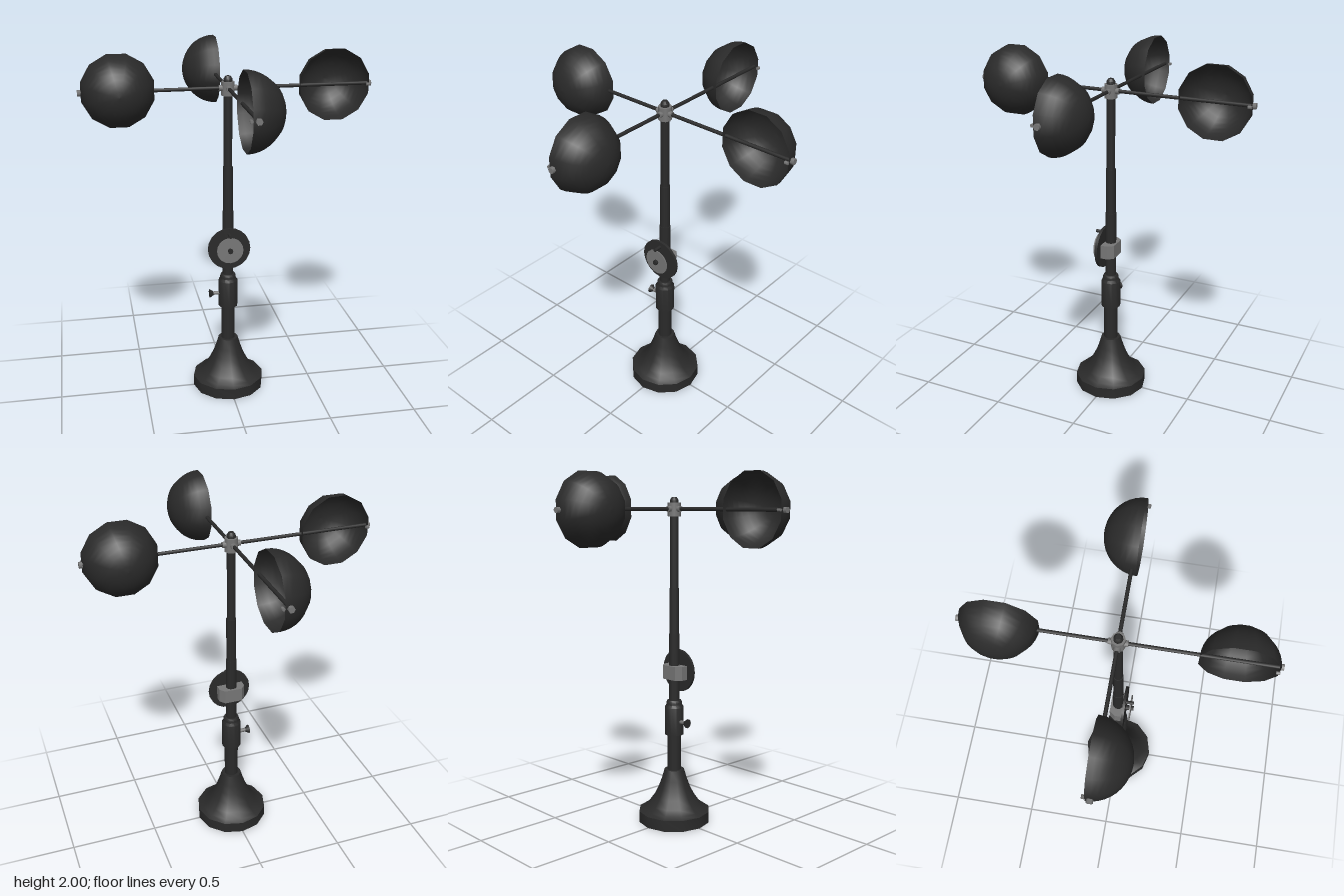
import * as THREE from 'three';
import { toCreasedNormals } from 'three/addons/utils/BufferGeometryUtils.js';

const dark = new THREE.MeshStandardMaterial({ color: 0x2a2a2a });
const cupDark = new THREE.MeshStandardMaterial({ color: 0x2a2a2a, side: THREE.DoubleSide });
const metal = new THREE.MeshStandardMaterial({ color: 0x777777 });

function add(parent, name, geometry, material, x = 0, y = 0, z = 0) {
  const mesh = new THREE.Mesh(geometry, material);
  mesh.name = name;
  mesh.position.set(x, y, z);
  parent.add(mesh);
  return mesh;
}

// Cylinder running between two positions along an axis
function rod(axis, from, to, r, sides = 12, rEnd = r) {
  const g = new THREE.CylinderGeometry(rEnd, r, to - from, sides);
  g.translate(0, (from + to) / 2, 0);
  if (axis === 'x') g.rotateZ(-Math.PI / 2);
  if (axis === 'z') g.rotateX(Math.PI / 2);
  return g;
}

function lathe(points, sides = 12) {
  const g = new THREE.LatheGeometry(points.map(([x, y]) => new THREE.Vector2(x, y)), sides);
  return toCreasedNormals(g, 0.6);
}

// One arm with its half-sphere cup, pointing along +x
function makeArm() {
  const arm = new THREE.Group();
  arm.name = 'cupArm';
  const y = 1.805, mid = 0.588, R = 0.2;
  add(arm, 'armRod', rod('x', 0.02, 0.79, 0.01, 8), dark, 0, y, 0);
  add(arm, 'armBoss', rod('x', 0.02, 0.05, 0.017, 8), metal, 0, y, 0);
  add(arm, 'endNut', rod('x', 0.782, 0.8, 0.017, 6), metal, 0, y, 0);

  const profile = [];
  for (let i = 0; i <= 10; i++) {
    const a = (i / 10) * Math.PI / 2;
    profile.push(new THREE.Vector2(R * Math.sin(a), -0.195 * Math.cos(a)));
  }
  const cup = new THREE.LatheGeometry(profile, 12);
  cup.rotateY(Math.PI / 12);
  cup.rotateX(Math.PI / 2);
  add(arm, 'cup', cup, cupDark, mid, y, 0.026);
  add(arm, 'rimScrew', rod('x', 0.765, 0.784, 0.009, 6), metal, 0, y, 0.033);
  return arm;
}

export function createModel() {
  const model = new THREE.Group();
  model.name = 'cupAnemometer';

  // Flared foot
  add(model, 'base', lathe([
    [0, 0], [0.209, 0], [0.209, 0.065], [0.18, 0.078], [0.15, 0.105], [0.118, 0.15],
    [0.093, 0.2], [0.075, 0.25], [0.057, 0.31], [0, 0.31],
  ]), dark);

  // Stepped mast
  const mast = new THREE.Group();
  mast.name = 'mast';
  model.add(mast);
  add(mast, 'lowerTube', rod('y', 0.3, 0.53, 0.04), dark);
  add(mast, 'clampCollar', lathe([
    [0, 0.52], [0.056, 0.52], [0.056, 0.68], [0.046, 0.695], [0.046, 0.71], [0.04, 0.722], [0, 0.722],
  ]), dark);
  add(mast, 'middleTube', rod('y', 0.71, 1.105, 0.031), dark);
  add(mast, 'upperTube', rod('y', 1.1, 1.365, 0.028), dark);
  add(mast, 'topTube', rod('y', 1.36, 1.78, 0.024), dark);

  // Thumb screw on the collar
  const screw = new THREE.Group();
  screw.name = 'thumbScrew';
  model.add(screw);
  add(screw, 'screwShaft', rod('x', -0.095, -0.045, 0.011, 8), metal, 0, 0.6, 0);
  add(screw, 'screwHead', rod('x', -0.11, -0.088, 0.027, 8, 0.013), dark, 0, 0.6, 0);

  // Housing behind the dial, chamfered at the rear
  const outline = new THREE.Shape([
    [-0.075, -0.03], [0.075, -0.03], [0.075, 0.01], [0.05, 0.042], [-0.05, 0.042], [-0.075, 0.01],
  ].map(([x, y]) => new THREE.Vector2(x, y)));
  const housing = new THREE.ExtrudeGeometry(outline, { depth: 0.08, bevelEnabled: false });
  housing.rotateX(-Math.PI / 2);
  add(model, 'dialHousing', housing, metal, 0, 0.845, 0);

  // Dial plate, front disc, axle and stop pin
  const dial = new THREE.Group();
  dial.name = 'dial';
  dial.position.y = 0.89;
  model.add(dial);
  add(dial, 'dialPlate', rod('z', 0.03, 0.045, 0.122, 20), dark);
  add(dial, 'frontDisc', rod('z', 0.069, 0.075, 0.076, 20), metal);
  add(dial, 'axle', rod('z', 0.04, 0.09, 0.015, 8), dark);
  add(dial, 'stopPin', rod('z', 0.04, 0.09, 0.01, 8), dark, 0, 0.088, 0);

  // Hub at the top of the mast
  const rotor = new THREE.Group();
  rotor.name = 'rotor';
  model.add(rotor);
  add(rotor, 'hub', rod('y', 1.765, 1.84, 0.037, 8), metal);
  add(rotor, 'hubCap', lathe([[0, 1.835], [0.024, 1.835], [0.024, 1.855], [0.014, 1.87], [0, 1.87]]), dark);

  // Four arms, a quarter turn apart
  for (let i = 0; i < 4; i++) {
    const arm = makeArm();
    arm.rotation.y = i * Math.PI / 2;
    rotor.add(arm);
  }
  return model;
}
